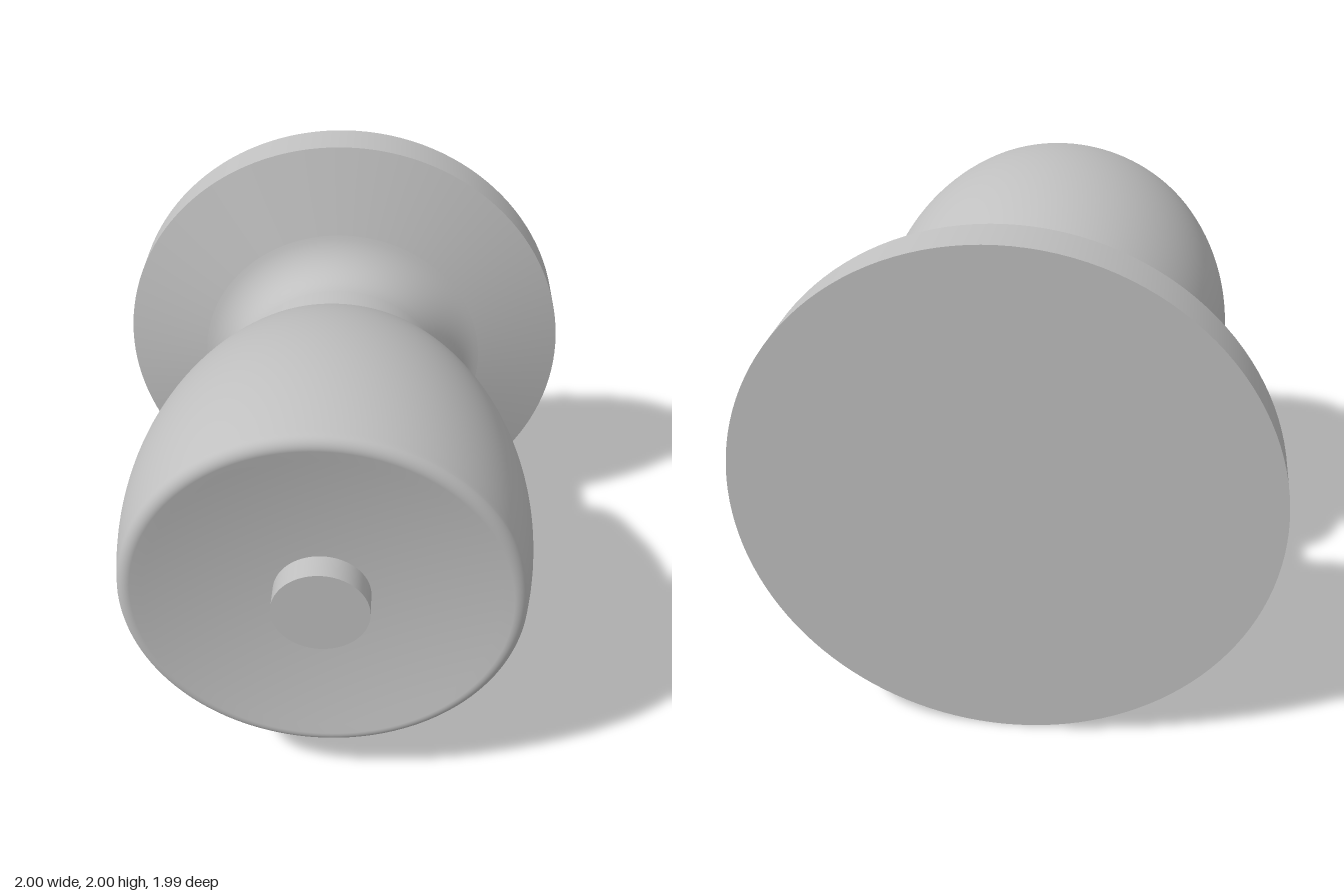
import * as THREE from 'three';
import { mergeGeometries } from 'three/addons/utils/BufferGeometryUtils.js';

const SEGMENTS = 128;

// Points along a circular arc in the (radius, z) profile plane
function arc(cr, cz, rad, from, to, steps) {
  const pts = [];
  for (let i = 0; i <= steps; i++) {
    const a = from + (to - from) * i / steps;
    pts.push([cr + rad * Math.cos(a), cz + rad * Math.sin(a)]);
  }
  return pts;
}

// Turned part about the z axis; each run is smooth, with sharp edges between runs
function turned(name, material, runs) {
  const geometry = mergeGeometries(runs.map(run =>
    new THREE.LatheGeometry(run.map(([r, z]) => new THREE.Vector2(Math.max(r, 0), z)), SEGMENTS)));
  geometry.rotateX(Math.PI / 2);
  const mesh = new THREE.Mesh(geometry, material);
  mesh.name = name;
  return mesh;
}

export function createModel() {
  const metal = new THREE.MeshStandardMaterial({ color: 0xc0c0c0 });
  metal.name = 'satin metal';

  const group = new THREE.Group();
  group.name = 'doorKnob';

  // Wall plate: flat disc, shallow cone, and a fillet sweeping into the collar
  const tilt = THREE.MathUtils.degToRad(15.2);
  const collarR = 0.476, fillet = 0.215;
  const tangentR = collarR + fillet * (1 - Math.sin(tilt));
  const tangentZ = -0.806 + (1 - tangentR) * Math.tan(tilt);
  const filletZ = tangentZ + fillet * Math.cos(tilt);
  const sweep = arc(collarR + fillet, filletZ, fillet, -Math.PI / 2 - tilt, -Math.PI, 14);
  group.add(turned('wallPlate', metal, [
    [[0, -0.993], [1, -0.993]],
    [[1, -0.993], [1, -0.806]],
    [[1, -0.806], sweep[0]],
    [...sweep],
    [[collarR, filletZ], [collarR, -0.29]],
    [[collarR, -0.29], [0.448, -0.262]],
    [[0.448, -0.262], [0, -0.262]],
  ]));

  // Neck between collar and knob
  group.add(turned('neck', metal, [[[0.275, -0.27], [0.275, -0.14]]]));

  // Knob: flat back, bulging side, rounded rim and dished face
  const R = 1.6, bulgeR = 0.785, bulgeZ = 0.57;
  const side = arc(bulgeR - R, bulgeZ, R, Math.asin((-0.147 - bulgeZ) / R), Math.asin((0.91 - bulgeZ) / R), 28);
  const rim = arc(0.703, 0.91, 0.045, 0.21, Math.PI / 2 + 0.18, 10);
  const [edgeR, edgeZ] = rim[rim.length - 1];
  const dish = [];
  for (let i = 1; i <= 16; i++) {
    const t = 1 - i / 16;
    dish.push([edgeR * t, 0.885 + (edgeZ - 0.885) * t * t]);
  }
  group.add(turned('knob', metal, [
    [[0, -0.147], side[0]],
    [...side, ...rim.slice(1), ...dish],
  ]));

  // Push button in the middle of the dish
  group.add(turned('pushButton', metal, [
    [[0.181, 0.87], [0.181, 0.993]],
    [[0.181, 0.993], [0, 0.993]],
  ]));

  // Raise the axis so the plate rests on the ground
  group.children.forEach(part => { part.position.y = 1; });
  return group;
}
